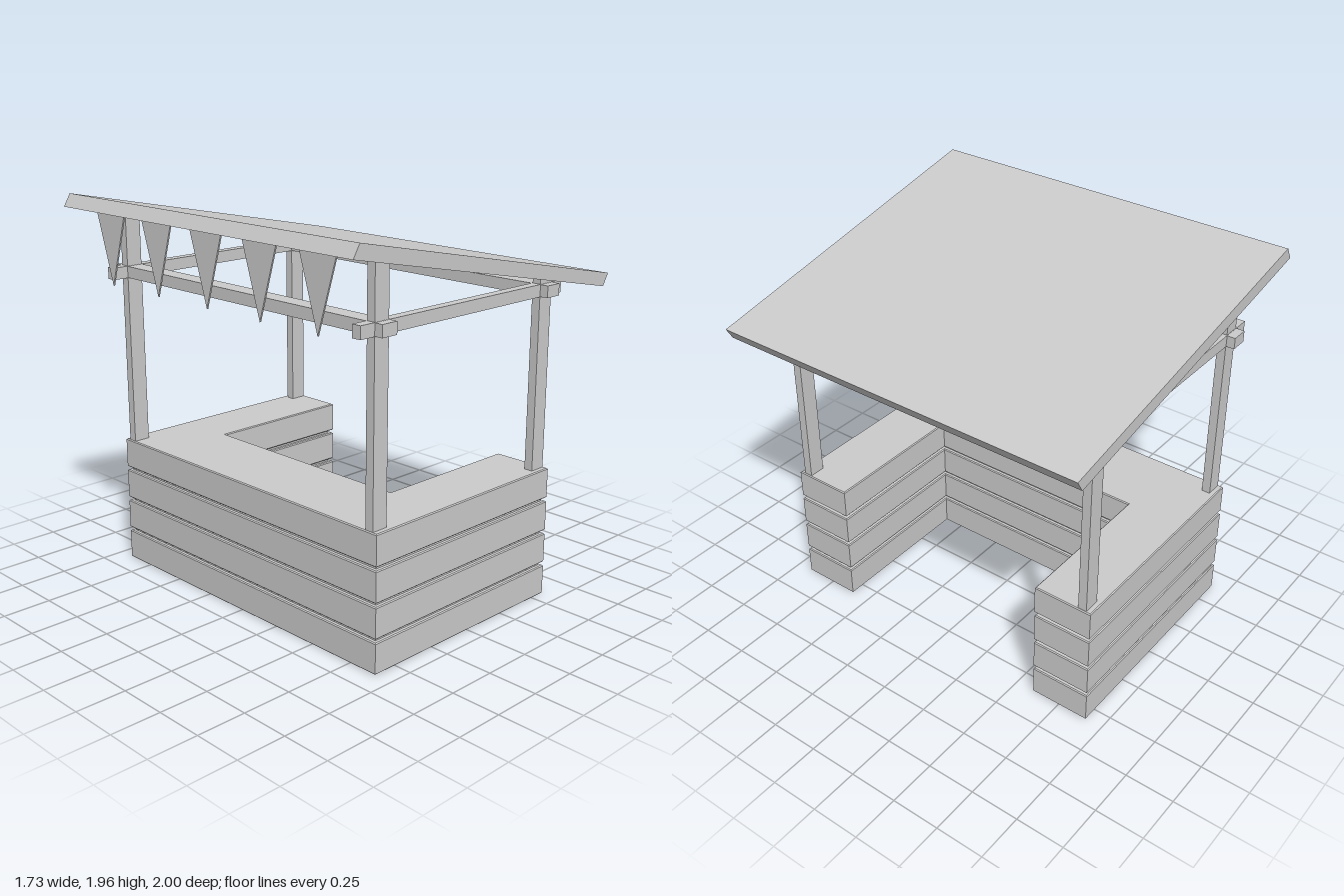
import * as THREE from 'three';

const material = new THREE.MeshStandardMaterial({ color: 0xcccccc, flatShading: true });
const flagMaterial = new THREE.MeshStandardMaterial({ color: 0xcccccc, flatShading: true, side: THREE.DoubleSide });

function polygon(points) {
  return new THREE.Shape(points.map(([x, y]) => new THREE.Vector2(x, y)));
}

// U-shaped counter outline, open towards +x, shrunk by an inset
function counterOutline(inset) {
  const x0 = -0.63 + inset, x1 = 0.58 - inset, xi = -0.215 - inset;
  const zo = 0.91 - inset, zi = 0.6 + inset;
  return polygon([[x0, -zo], [x1, -zo], [x1, -zi], [xi, -zi], [xi, zi], [x1, zi], [x1, zo], [x0, zo]]);
}

export function createModel() {
  const model = new THREE.Group();
  model.name = 'marketStall';

  const add = (parent, name, geometry, x = 0, y = 0, z = 0) => {
    const mesh = new THREE.Mesh(geometry, material);
    mesh.name = name;
    mesh.position.set(x, y, z);
    parent.add(mesh);
    return mesh;
  };
  const group = (name) => {
    const g = new THREE.Group();
    g.name = name;
    model.add(g);
    return g;
  };

  // Counter: four thick planked layers around a recessed core
  const counter = group('counter');
  const core = new THREE.ExtrudeGeometry(counterOutline(0.02), { depth: 0.6, bevelEnabled: false });
  add(counter, 'counterCore', core.rotateX(-Math.PI / 2), 0, 0.04, 0);
  const bevel = 0.005, layerHeight = 0.155;
  const layer = new THREE.ExtrudeGeometry(counterOutline(0), {
    depth: layerHeight - 2 * bevel, bevelThickness: bevel, bevelSize: bevel, bevelOffset: -bevel, bevelSegments: 1,
  });
  layer.rotateX(-Math.PI / 2);
  for (let i = 0; i < 4; i++) add(counter, 'counterLayer', layer, 0, 0.005 + bevel + i * 0.1717, 0);

  // Posts: tall pair at the serving side, short pair at the open side
  const frame = group('frame');
  const postZ = 0.86;
  for (const side of [-1, 1]) {
    add(frame, 'tallPost', new THREE.BoxGeometry(0.085, 1.21, 0.045), -0.582, 1.25, side * postZ);
    add(frame, 'shortPost', new THREE.BoxGeometry(0.085, 0.98, 0.045), 0.53, 1.135, side * postZ);
    add(frame, 'sideBeam', new THREE.BoxGeometry(1.355, 0.06, 0.049), -0.032, 1.57, side * postZ);
  }
  // Cross beams along the stall, overshooting the posts
  for (const x of [-0.582, 0.53]) add(frame, 'longBeam', new THREE.BoxGeometry(0.089, 0.058, 1.855), x, 1.57, 0);

  // Sloping roof slab
  const roof = new THREE.ExtrudeGeometry(
    polygon([[-0.87, 1.905], [0.827, 1.56], [0.862, 1.62], [-0.833, 1.967]]),
    { depth: 2, bevelEnabled: false },
  );
  add(model, 'roof', roof, 0, 0, -1);

  // Row of pennants hanging below the high edge of the roof
  const bunting = group('bunting');
  const pennant = new THREE.ExtrudeGeometry(
    polygon([[-0.11, 0], [0, -0.35], [0.11, 0]]),
    { depth: 0.008, bevelEnabled: false },
  );
  pennant.rotateY(Math.PI / 2);
  for (let i = -2; i <= 2; i++) {
    add(bunting, 'pennant', pennant, -0.793, 1.89, i * 0.36).material = flagMaterial;
  }

  return model;
}
